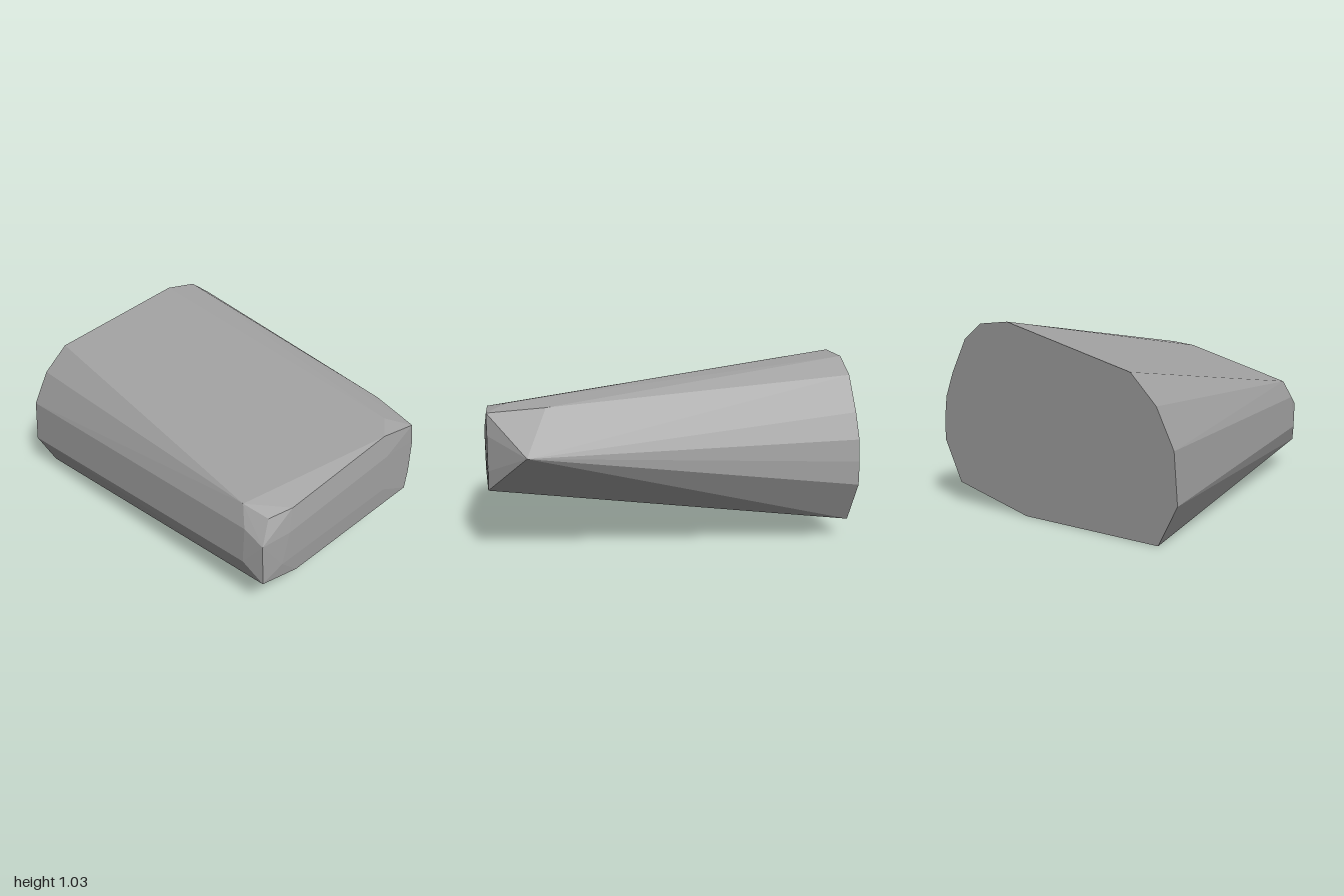
import * as THREE from 'three';
import { ConvexGeometry } from 'three/addons/geometries/ConvexGeometry.js';

export function createModel() {
  const group = new THREE.Group();
  group.name = 'facetedBlock';
  const grey = new THREE.MeshStandardMaterial({ color: 0xa0a0a0 });
  grey.name = 'grey';

  // Large flat back outline, all at z = -1
  const back = [
    [-0.69, 0], [0.17, 0], [0.68, 0.115], [0.8, 0.35], [0.797, 0.48], [0.78, 0.6],
    [0.72, 0.74], [0.61, 0.93], [0.48, 1.02], [0.28, 1.035], [-0.53, 0.82],
    [-0.68, 0.67], [-0.78, 0.47], [-0.8, 0.21],
  ].map(([x, y]) => [x, y, -1]);

  // Bevelled shoulder behind the nose
  const shoulder = [
    [-0.33, 0.1, 0.67], [-0.38, 0.13, 0.88], [-0.49, 0.28, 0.88], [-0.475, 0.48, 0.87],
    [-0.44, 0.59, 0.81], [0.48, 0.815, 0.88], [0.63, 0.81, 0.68], [0.785, 0.58, 0.79],
  ];

  // Small, slightly bulging nose
  const nose = [
    [-0.435, 0.17, 0.985], [-0.21, 0.165, 0.99], [0.59, 0.37, 0.99], [0.61, 0.48, 0.985],
    [0.61, 0.67, 0.985], [0.59, 0.785, 0.985], [0.38, 0.785, 0.98], [-0.25, 0.585, 0.98],
    [-0.38, 0.55, 0.945], [-0.445, 0.42, 0.985],
    [-0.32, 0.26, 1], [0.4, 0.44, 1], [0.4, 0.66, 1], [-0.28, 0.45, 1],
  ];

  // One convex, flat-faceted body spanning all sections
  const points = [...back, ...shoulder, ...nose].map((p) => new THREE.Vector3(...p));
  const body = new THREE.Mesh(new ConvexGeometry(points), grey);
  body.name = 'body';
  group.add(body);
  return group;
}
